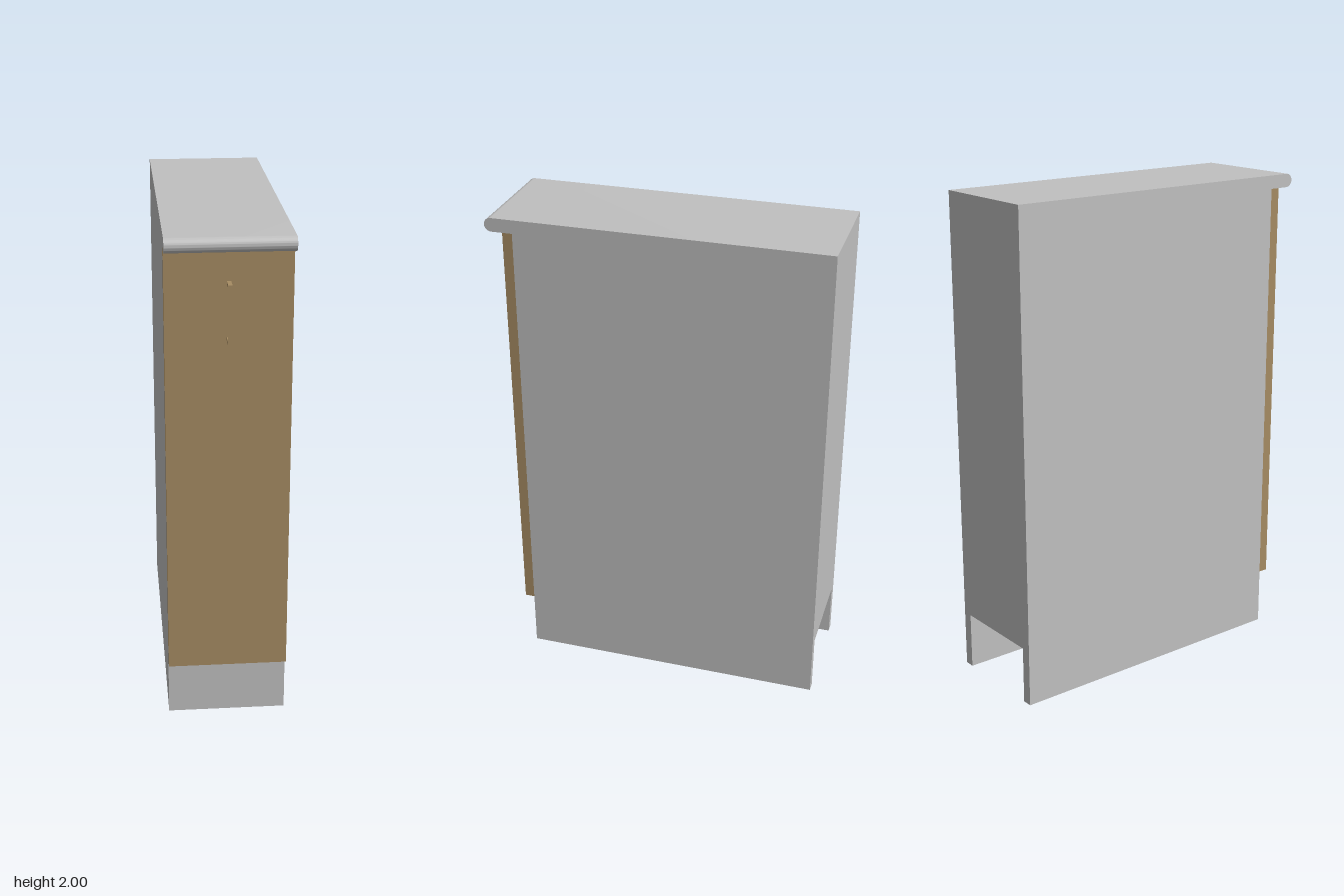
import * as THREE from 'three';
import { toCreasedNormals } from 'three/addons/utils/BufferGeometryUtils.js';

export function createModel() {
  const model = new THREE.Group();
  model.name = 'baseCabinet';

  const grey = new THREE.MeshStandardMaterial({ color: 0xc0c0c0 });
  grey.name = 'light grey';
  const wood = new THREE.MeshStandardMaterial({ color: 0xa68c63 });
  wood.name = 'tan wood';

  // Overall limits
  const half = 0.235, back = -0.685, front = 0.57, nose = 0.683;
  const plinthTop = 0.235, topUnder = 1.945, top = 2;
  const panel = 0.042;

  // Box given by its limits on each axis
  function box(name, material, [x0, x1], [y0, y1], [z0, z1], parent = model) {
    const mesh = new THREE.Mesh(new THREE.BoxGeometry(x1 - x0, y1 - y0, z1 - z0), material);
    mesh.position.set((x0 + x1) / 2, (y0 + y1) / 2, (z0 + z1) / 2);
    mesh.name = name;
    parent.add(mesh);
  }

  // Carcass
  box('carcass', grey, [-half, half], [plinthTop, topUnder], [back, front]);

  // Plinth: two sides and a front board, open at the back and below
  box('plinthLeft', grey, [half - panel, half], [0, plinthTop], [back, front]);
  box('plinthRight', grey, [-half, panel - half], [0, plinthTop], [back, front]);
  box('plinthFront', grey, [panel - half, half - panel], [0, plinthTop], [front - panel, front]);

  // Worktop with a rounded front edge, extruded across the width
  const r = (top - topUnder) / 2;
  const profile = new THREE.Shape();
  profile.moveTo(back, topUnder);
  profile.lineTo(nose - r, topUnder);
  profile.absarc(nose - r, topUnder + r, r, -Math.PI / 2, Math.PI / 2, false);
  profile.lineTo(back, top);
  profile.closePath();
  const slab = new THREE.ExtrudeGeometry(profile, { depth: half * 2, bevelEnabled: false, curveSegments: 20 });
  slab.translate(0, 0, -half);
  slab.rotateY(-Math.PI / 2);
  const worktop = new THREE.Mesh(toCreasedNormals(slab, 0.5), grey);
  worktop.name = 'worktop';
  model.add(worktop);

  // Door
  const doorFace = 0.61;
  box('door', wood, [-half, half], [plinthTop, topUnder], [front, doorFace]);

  // Bar handle with two short posts
  const handle = new THREE.Group();
  handle.name = 'handle';
  model.add(handle);
  const w = 0.008, t = 0.011, low = 1.604, high = 1.826, grip = 0.667;
  box('handleGrip', wood, [-w, w], [low, high], [grip - t, grip], handle);
  for (const y of [low, high - t]) {
    box('handlePost', wood, [-w, w], [y, y + t], [doorFace, grip - t], handle);
  }

  return model;
}
